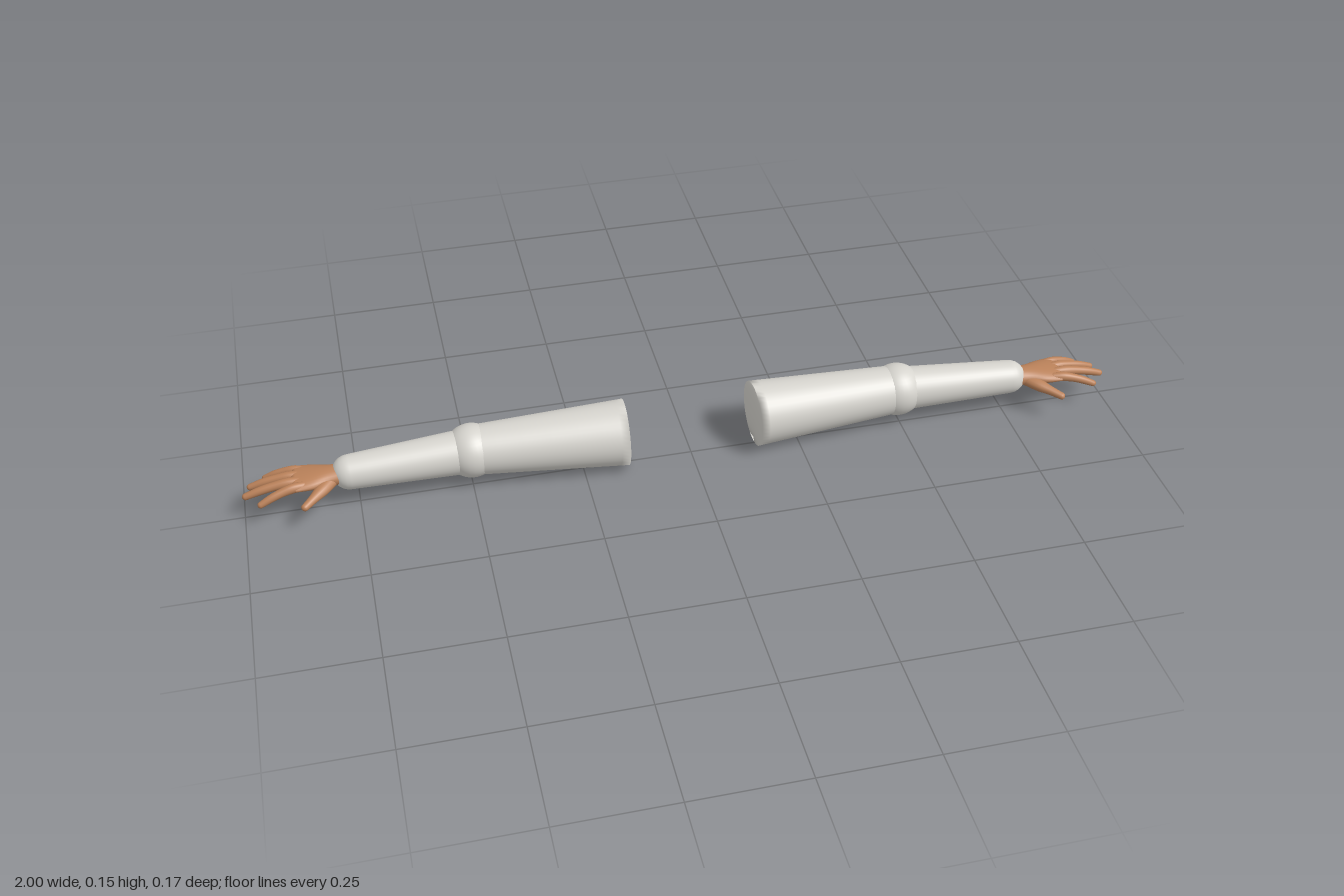
import * as THREE from 'three';

// Smooth round-ended limb through points [x, y, z, sideRadius, upRadius].
function limbGeometry(points, steps, segments) {
  const curve = new THREE.CatmullRomCurve3(points.map(p => new THREE.Vector3(p[0], p[1], p[2])), false, 'catmullrom');
  const radii = new THREE.CatmullRomCurve3(points.map(p => new THREE.Vector3(p[3], p[4] ?? p[3], 0)), false, 'catmullrom');
  const rings = [];
  const addRing = (t, lean) => rings.push({ t, lean });
  const capSteps = 6;
  for (let i = 0; i < capSteps; i++) addRing(0, -(Math.PI / 2) * (0.995 - i / capSteps));
  for (let i = 0; i <= steps; i++) addRing(i / steps, 0);
  for (let i = 1; i <= capSteps; i++) addRing(1, (Math.PI / 2) * (i / capSteps - 0.005));

  const position = [], index = [];
  const worldUp = new THREE.Vector3(0, 1, 0);
  rings.forEach(({ t, lean }, i) => {
    const along = curve.getTangent(t);
    const side = new THREE.Vector3().crossVectors(worldUp, along).normalize();
    const up = new THREE.Vector3().crossVectors(along, side);
    const r = radii.getPoint(t);
    const centre = curve.getPoint(t).addScaledVector(along, Math.min(r.x, r.y) * Math.sin(lean));
    for (let j = 0; j < segments; j++) {
      const a = (j / segments) * Math.PI * 2;
      const v = centre.clone()
        .addScaledVector(side, r.x * Math.cos(lean) * Math.cos(a))
        .addScaledVector(up, r.y * Math.cos(lean) * Math.sin(a));
      position.push(v.x, v.y, v.z);
      if (i < rings.length - 1) {
        const k = (j + 1) % segments, p = i * segments, q = p + segments;
        index.push(p + j, p + k, q + k, p + j, q + k, q + j);
      }
    }
  });
  const geometry = new THREE.BufferGeometry();
  geometry.setAttribute('position', new THREE.Float32BufferAttribute(position, 3));
  geometry.setIndex(index);
  geometry.computeVertexNormals();
  return geometry;
}

export function createModel() {
  const sleeve = new THREE.MeshStandardMaterial({ name: 'sleeveGrey', color: 0xd6d4ce });
  const skin = new THREE.MeshStandardMaterial({ name: 'skinBrown', color: 0xbb825a });
  const model = new THREE.Group();
  model.name = 'arms';

  for (const [label, s] of [['left', 1], ['right', -1]]) {
    const arm = new THREE.Group();
    arm.name = label + 'Arm';
    model.add(arm);
    const limb = (name, material, points, steps = 12, segments = 20) => {
      const mirrored = points.map(([x, ...rest]) => [x * s, ...rest]);
      const mesh = new THREE.Mesh(limbGeometry(mirrored, steps, segments), material);
      mesh.name = name;
      arm.add(mesh);
    };

    // Sleeve: upper arm with round shoulder, elbow ball, forearm
    limb('upperArm', sleeve, [[0.155, 0.077, -0.012, 0.075], [0.49, 0.08, -0.022, 0.056]], 8, 40);
    const elbow = new THREE.Mesh(new THREE.SphereGeometry(0.061, 32, 20), sleeve);
    elbow.name = 'elbow';
    elbow.position.set(0.495 * s, 0.08, -0.022);
    arm.add(elbow);
    limb('forearm', sleeve, [[0.5, 0.08, -0.022, 0.051], [0.765, 0.08, -0.008, 0.039]], 8, 40);

    // Palm, flat and widening to the knuckles
    limb('palm', skin, [
      [0.775, 0.08, -0.005, 0.026, 0.022],
      [0.81, 0.081, -0.005, 0.029, 0.019],
      [0.845, 0.081, -0.006, 0.040, 0.016],
      [0.88, 0.081, -0.008, 0.045, 0.012],
    ], 14, 28);

    // Fingers: [name, knuckle x, knuckle z, tip x, tip z, radius]
    const fingers = [
      ['indexFinger', 0.882, 0.024, 0.96, 0.040, 0.0105],
      ['middleFinger', 0.888, 0.004, 0.991, 0.004, 0.0110],
      ['ringFinger', 0.884, -0.018, 0.98, -0.027, 0.0105],
      ['littleFinger', 0.876, -0.038, 0.947, -0.053, 0.0090],
    ];
    for (const [name, kx, kz, tx, tz, r] of fingers) {
      const at = (f, y, k) => [kx + (tx - kx) * f, y, kz + (tz - kz) * f, r * k];
      limb(name, skin, [at(-0.2, 0.082, 1), at(0.1, 0.083, 1.05), at(0.4, 0.079, 0.92),
        at(0.7, 0.072, 0.86), at(1, 0.062, 0.7)], 14, 14);
    }

    // Thumb, spread towards the front
    limb('thumb', skin, [
      [0.808, 0.076, 0.008, 0.018, 0.014],
      [0.828, 0.073, 0.033, 0.016, 0.013],
      [0.848, 0.069, 0.054, 0.011, 0.010],
      [0.868, 0.064, 0.073, 0.0085, 0.008],
    ], 14, 14);
  }
  return model;
}
